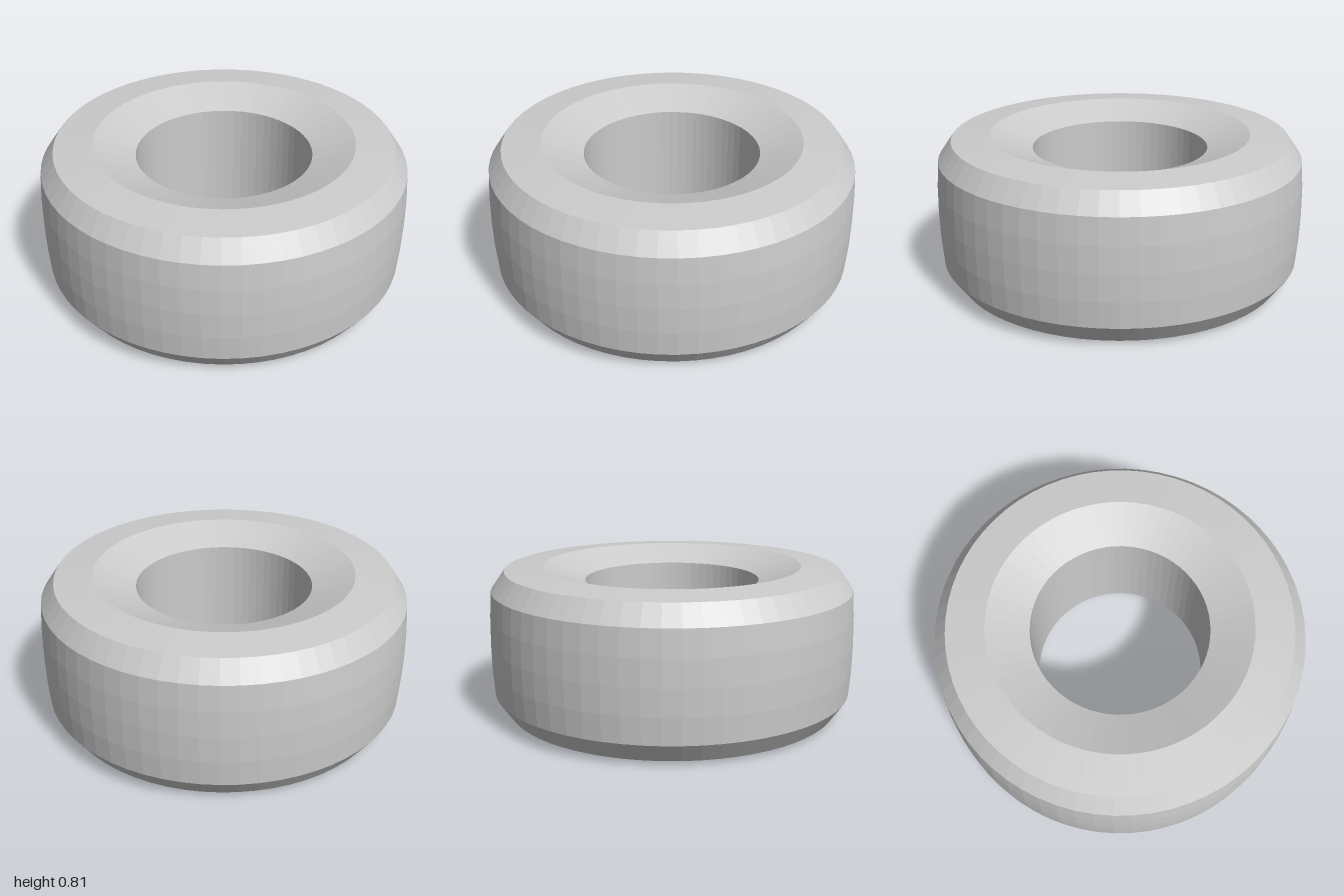
import * as THREE from 'three';

const SEGMENTS = 64;
const HEIGHT = 0.81;

export function createModel() {
  const group = new THREE.Group();
  group.name = 'tyre';
  const rubber = new THREE.MeshStandardMaterial({ color: 0xcccccc, flatShading: true });
  rubber.name = 'light grey';

  // Revolves a [radius, height] profile; outer profiles run upward, the bore downward
  const addRing = (name, profile) => {
    const points = profile.map(([r, y]) => new THREE.Vector2(r, y));
    const mesh = new THREE.Mesh(new THREE.LatheGeometry(points, SEGMENTS), rubber);
    mesh.name = name;
    group.add(mesh);
  };
  const flip = (profile) => profile.map(([r, y]) => [r, HEIGHT - y]).reverse();

  // Gently bulging tread
  addRing('tread', [[0.987, 0.122], [0.997, 0.263], [1, 0.405], [0.997, 0.547], [0.987, 0.688]]);

  // Bevelled shoulders
  const shoulder = [[0.914, 0.018], [0.987, 0.122]];
  addRing('lowerShoulder', shoulder);
  addRing('upperShoulder', flip(shoulder));

  // Sidewalls: funnel from the bore to a ridge, then a slight slope to the shoulder
  const sidewall = [[0.478, 0.083], [0.705, 0], [0.914, 0.018]];
  addRing('lowerSidewall', sidewall);
  addRing('upperSidewall', flip(sidewall));

  // Straight centre hole
  addRing('bore', [[0.478, HEIGHT - 0.083], [0.478, 0.083]]);

  return group;
}
